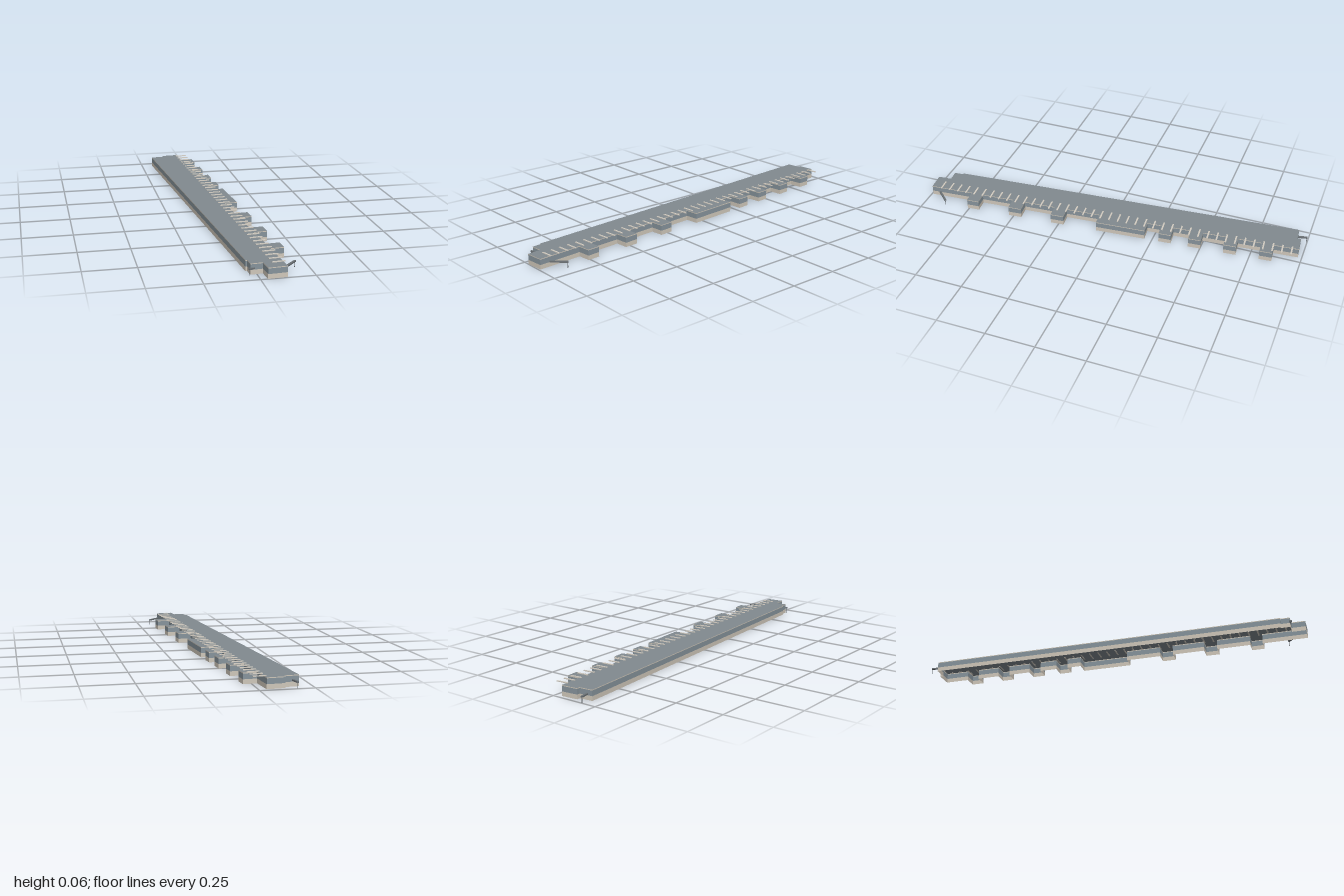
import * as THREE from 'three';

const mat = (name, color, side = THREE.FrontSide) => {
  const m = new THREE.MeshStandardMaterial({ color, side });
  m.name = name;
  return m;
};

// Outline of the block: x across, z along its length
function makeOutline() {
  const main = 0.156, bay = 0.222;
  const bays = [
    [0.106, 0.170], [0.287, 0.351], [0.468, 0.532], [0.622, 0.686],
    [0.760, 1.018], [1.196, 1.265], [1.430, 1.499], [1.669, 1.733],
  ];
  const pts = [[0, 0], [0.07, 0], [0.07, -0.018], [main, -0.018]];
  for (const [a, b] of bays) pts.push([main, a], [bay, a], [bay, b], [main, b]);
  pts.push([main, 1.961], [0.066, 1.961], [0.066, 1.892], [0.008, 1.892], [0.008, 1.845], [0, 1.845]);
  return pts;
}

// One horizontal band of wall around the outline, open above and below
function bandGeometry(pts, y0, y1) {
  const pos = [];
  pts.forEach(([x0, z0], i) => {
    const [x1, z1] = pts[(i + 1) % pts.length];
    pos.push(x0, y0, z0, x0, y1, z0, x1, y1, z1);
    pos.push(x0, y0, z0, x1, y1, z1, x1, y0, z1);
  });
  const g = new THREE.BufferGeometry();
  g.setAttribute('position', new THREE.Float32BufferAttribute(pos, 3));
  g.computeVertexNormals();
  return g;
}

export function createModel() {
  const roofMat = mat('roofGrey', 0x818a8f, THREE.DoubleSide);
  const wallMat = mat('wallGrey', 0x87949c, THREE.DoubleSide);
  const stoneMat = mat('paleStone', 0xd0c8bb, THREE.DoubleSide);
  const beamMat = mat('beamCream', 0xd2ccc2);
  const canopyMat = mat('canopyGrey', 0x6c7276);

  const model = new THREE.Group();
  model.name = 'longTerraceBuilding';
  const add = (parent, name, geometry, material) => {
    const m = new THREE.Mesh(geometry, material);
    m.name = name;
    parent.add(m);
    return m;
  };

  // Block stands slightly turned on the plot
  const block = new THREE.Group();
  block.name = 'block';
  block.position.set(-0.19, 0, -0.95);
  block.rotation.y = 0.0804;
  model.add(block);

  // Walls in three bands, open underneath
  const pts = makeOutline();
  const top = 0.052;
  add(block, 'groundFloorWall', bandGeometry(pts, 0, 0.022), stoneMat);
  add(block, 'upperWall', bandGeometry(pts, 0.022, 0.048), wallMat);
  add(block, 'parapetBand', bandGeometry(pts, 0.048, top), stoneMat);

  // Flat roof
  const shape = new THREE.Shape(pts.map(([x, z]) => new THREE.Vector2(x, -z)));
  const roof = new THREE.ShapeGeometry(shape);
  roof.rotateX(-Math.PI / 2);
  roof.translate(0, top, 0);
  add(block, 'roof', roof, roofMat);

  // Row of thin beams overhanging the bay side
  const beams = new THREE.Group();
  beams.name = 'roofBeams';
  block.add(beams);
  const count = 41;
  for (let i = 0; i < count; i++) {
    const t = i / (count - 1);
    const b = add(beams, 'roofBeam', new THREE.BoxGeometry(0.062, 0.004, 0.008), beamMat);
    b.position.set(0.178 - 0.045 * t, 0.0535, 0.015 + 1.89 * t);
  }

  // Entrance canopies, each on a slim post at its outer end
  const canopies = [
    ['frontLeftCanopy', [0.127, 0.945], [0.187, 0.882]],
    ['frontRightCanopy', [-0.038, 0.941], [-0.012, 0.932]],
    ['backCanopy', [-0.161, -0.948], [-0.171, -0.998]],
  ];
  canopies.forEach(([name, a, b], i) => {
    const g = new THREE.Group();
    g.name = name;
    model.add(g);
    const dx = b[0] - a[0], dz = b[1] - a[1];
    const slab = add(g, 'canopySlab', new THREE.BoxGeometry(0.01, 0.007, Math.hypot(dx, dz)), canopyMat);
    slab.position.set((a[0] + b[0]) / 2, 0.029, (a[1] + b[1]) / 2);
    slab.rotation.y = Math.atan2(dx, dz);
    const end = i === 1 ? 0.05 : 0.96;
    const post = add(g, 'canopyPost', new THREE.CylinderGeometry(0.0015, 0.0015, 0.027, 8), canopyMat);
    post.position.set(a[0] + dx * end, 0.0135, a[1] + dz * end);
  });

  return model;
}
